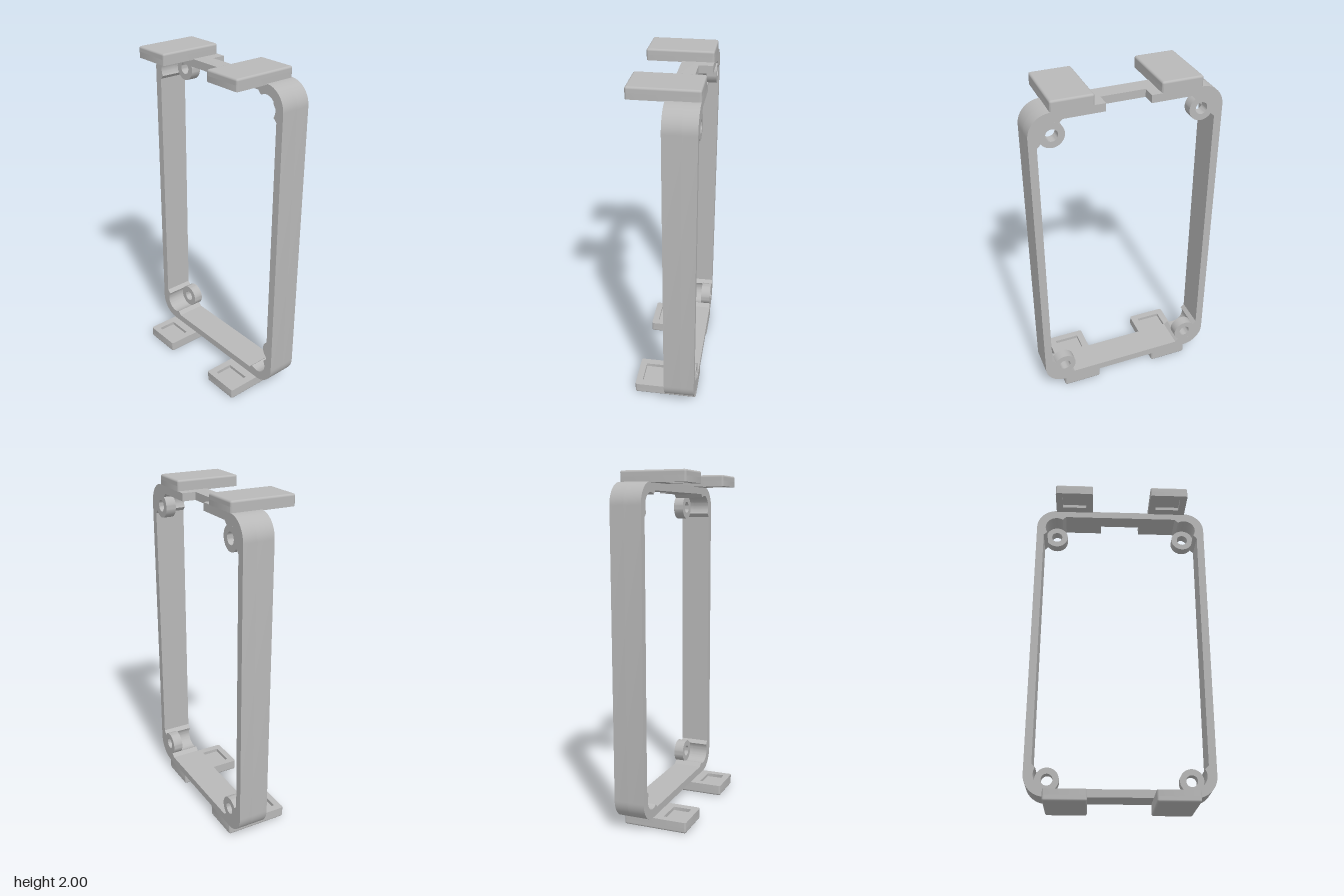
import * as THREE from 'three';
import { toCreasedNormals } from 'three/addons/utils/BufferGeometryUtils.js';
import { RoundedBoxGeometry } from 'three/addons/geometries/RoundedBoxGeometry.js';

const W = 0.54, BOTTOM = 0.065, TOP = 1.94, R = 0.125;  // frame outline
const BACK = -0.19, FRONT = -0.01, NOTCH_Z = -0.11;     // frame depths
const NOTCH = 0.125, WALL = 0.045, BOSS_R = 0.07;
const CX = W - R, CY = [BOTTOM + R, TOP - R];           // corner centres

const P = (x, y) => new THREE.Vector2(x, y);

// Corner curves in outward coordinates, running from the side wall to the end wall
function arc(r, a0, a1, n) {
  return Array.from({ length: n + 1 }, (_, i) => {
    const a = THREE.MathUtils.degToRad(a0 + (a1 - a0) * i / n);
    return P(r * Math.cos(a), r * Math.sin(a));
  });
}
const outerCorner = arc(R, 0, 90, 16);
const innerCorner = [P(R - WALL, -0.06), ...arc(BOSS_R, -33.3, 123.3, 24), P(-0.06, R - WALL)];

// Counter-clockwise loop starting at the top middle
function loop(corner) {
  const points = [];
  for (const [sx, sy] of [[-1, 1], [-1, -1], [1, -1], [1, 1]]) {
    const part = corner.map(p => P(sx * (CX + p.x), (sy > 0 ? CY[1] : CY[0]) + sy * p.y));
    points.push(...(sx * sy < 0 ? part.reverse() : part));
  }
  return points;
}

function extrude(shape, depth) {
  const g = new THREE.ExtrudeGeometry(shape, { depth, bevelEnabled: false, curveSegments: 24 });
  return toCreasedNormals(g, 0.5);
}

function roundedRect(x0, y0, x1, y1, r, Type) {
  const s = new Type();
  s.moveTo(x0 + r, y0).lineTo(x1 - r, y0).absarc(x1 - r, y0 + r, r, -Math.PI / 2, 0);
  s.lineTo(x1, y1 - r).absarc(x1 - r, y1 - r, r, 0, Math.PI / 2);
  s.lineTo(x0 + r, y1).absarc(x0 + r, y1 - r, r, Math.PI / 2, Math.PI);
  s.lineTo(x0, y0 + r).absarc(x0 + r, y0 + r, r, Math.PI, Math.PI * 1.5);
  return s;
}

export function createModel() {
  const model = new THREE.Group();
  model.name = 'mountingFrame';
  const grey = new THREE.MeshStandardMaterial({ color: 0xb8b8b8 });
  grey.name = 'grey plastic';

  function add(name, geometry, x, y, z, parent = model) {
    const mesh = new THREE.Mesh(geometry, grey);
    mesh.name = name;
    mesh.position.set(x, y, z);
    parent.add(mesh);
    return mesh;
  }

  // Front layer of the frame: a closed ring
  const outer = loop(outerCorner), inner = loop(innerCorner);
  const ring = new THREE.Shape(outer);
  ring.holes.push(new THREE.Path(inner));
  add('frameFront', extrude(ring, FRONT - NOTCH_Z), 0, 0, NOTCH_Z);

  // Back layer: the same ring, cut open by the notch at the top
  const open = new THREE.Shape([
    P(-NOTCH, TOP), ...outer, P(NOTCH, TOP),
    P(NOTCH, TOP - WALL), ...inner.slice().reverse(), P(-NOTCH, TOP - WALL),
  ]);
  add('frameBack', extrude(open, NOTCH_Z - BACK), 0, 0, BACK);

  // Screw bosses in the corners
  const boss = new THREE.Shape().absarc(0, 0, BOSS_R, 0, Math.PI * 2);
  boss.holes.push(new THREE.Path().absarc(0, 0, 0.034, 0, Math.PI * 2, true));
  const bossGeometry = extrude(boss, 0.06);
  for (const sx of [-1, 1]) for (const y of CY) add('screwBoss', bossGeometry, sx * CX, y, BACK);

  // Clips: a rounded slab with a rim around a shallow pocket on the inner face
  const slab = new RoundedBoxGeometry(0.235, 0.045, 0.38, 3, 0.012);
  const rim = roundedRect(-0.1175, -0.19, 0.1175, 0.19, 0.012, THREE.Shape);
  rim.holes.push(roundedRect(-0.075, -0.15, 0.075, -0.04, 0.004, THREE.Path));
  const rimGeometry = extrude(rim, 0.035).rotateX(-Math.PI / 2);
  for (const x of [-0.3, 0.3]) for (const end of ['bottom', 'top']) {
    const clip = new THREE.Group();
    clip.name = end + 'Clip';
    add('clipPlate', slab, 0, 0.0225, 0, clip);
    add('clipRim', rimGeometry, 0, 0.03, 0, clip);
    clip.position.x = x;
    if (end === 'top') {
      clip.position.y = 2;
      // Turned over, with the pocket kept at the front
      clip.rotation.z = Math.PI;
    }
    model.add(clip);
  }
  return model;
}
